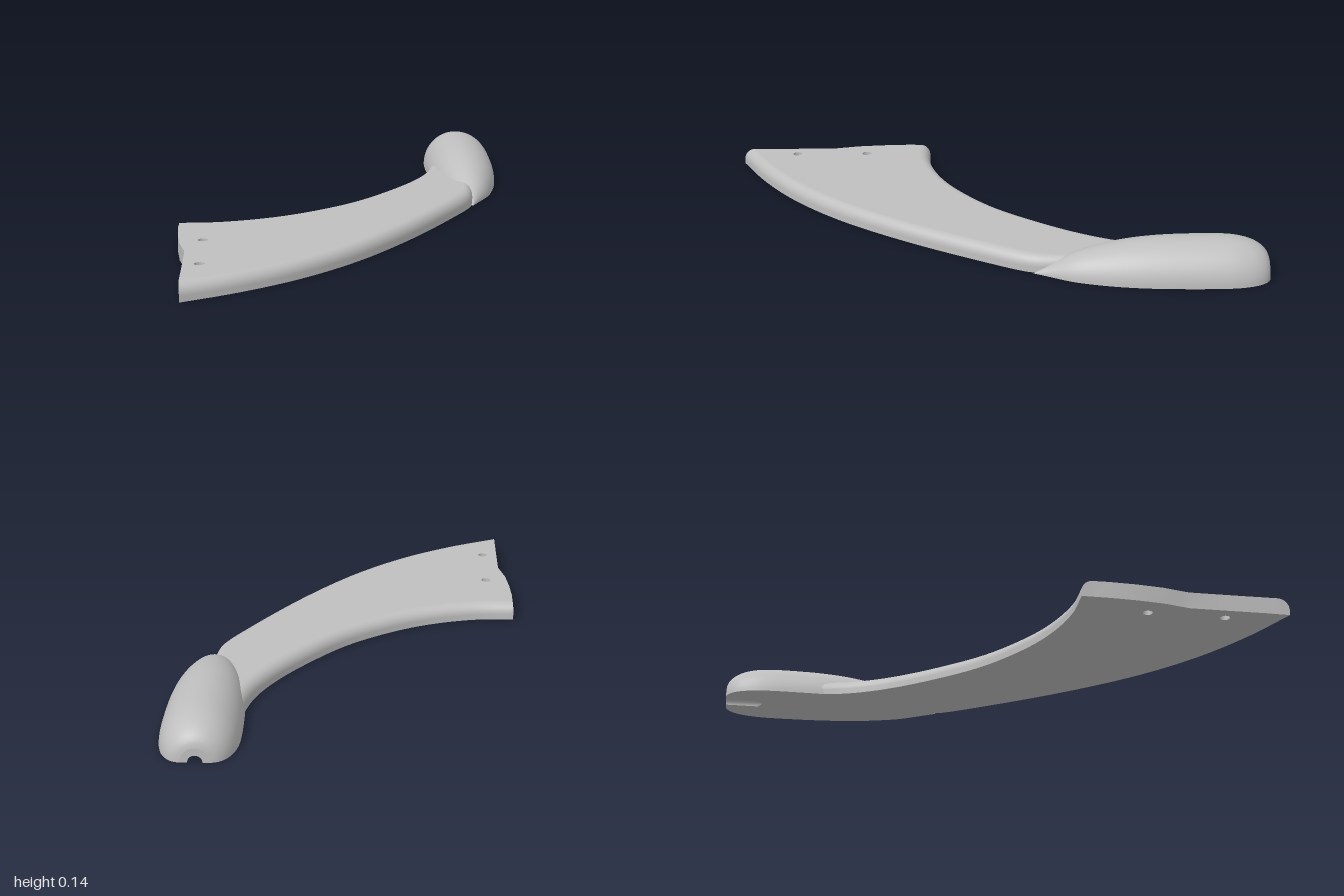
import * as THREE from 'three';
import { toCreasedNormals } from 'three/addons/utils/BufferGeometryUtils.js';

const H = 0.063;      // blade thickness
const R = 0.042;      // rounding of the long edges
const STEPS = 64;

// Smooth plan curve from [x, z] pairs
const planCurve = (pts) =>
  new THREE.CatmullRomCurve3(pts.map(([x, z]) => new THREE.Vector3(x, 0, z)), false, 'centripetal');

// Surface through rows of points
function surface(rows, flip = false) {
  const n = rows[0].length, pos = [], idx = [];
  rows.forEach((row) => row.forEach((p) => pos.push(p.x, p.y, p.z)));
  for (let i = 0; i < rows.length - 1; i++) {
    for (let j = 0; j < n - 1; j++) {
      const a = i * n + j, b = a + 1, c = a + n, d = c + 1;
      if (flip) idx.push(a, c, b, b, c, d);
      else idx.push(a, b, c, b, d, c);
    }
  }
  const g = new THREE.BufferGeometry();
  g.setAttribute('position', new THREE.Float32BufferAttribute(pos, 3));
  g.setIndex(idx);
  g.computeVertexNormals();
  return g;
}

export function createModel() {
  const grey = new THREE.MeshStandardMaterial({ color: 0xbfbfbf, side: THREE.DoubleSide });
  grey.name = 'plain grey';
  const model = new THREE.Group();
  model.name = 'curvedHandle';
  const blade = new THREE.Group();
  blade.name = 'blade';
  model.add(blade);
  const add = (parent, geometry, name) => {
    const mesh = new THREE.Mesh(geometry, grey);
    mesh.name = name;
    parent.add(mesh);
    return mesh;
  };

  // Long edges of the blade, from the wide end to the grip
  const inner = planCurve([[-0.638, 0.23], [-0.5, 0.225], [-0.35, 0.188], [-0.2, 0.12], [0, -0.025],
    [0.15, -0.195], [0.27, -0.37], [0.335, -0.51], [0.365, -0.64], [0.39, -0.8]]);
  const outer = planCurve([[-0.597, 1], [-0.4, 0.9], [-0.2, 0.765], [0, 0.578], [0.2, 0.325],
    [0.4, 0.015], [0.485, -0.14], [0.5, -0.21], [0.505, -0.3], [0.52, -0.5], [0.52, -0.8]]);

  // Rounded profile rising from an edge point towards its mate on the other edge
  function edgeRows(from, to) {
    const rows = [];
    for (let i = 0; i <= STEPS; i++) {
      const p = from.getPointAt(i / STEPS);
      const dir = to.getPointAt(i / STEPS).sub(p).normalize();
      const row = [p.clone()];
      for (let k = 0; k <= 8; k++) {
        const a = (k / 8) * Math.PI / 2;
        const q = p.clone().addScaledVector(dir, R * (1 - Math.cos(a)));
        q.y = H - R + R * Math.sin(a);
        row.push(q);
      }
      rows.push(row);
    }
    return rows;
  }
  const innerRows = edgeRows(inner, outer), outerRows = edgeRows(outer, inner);
  add(blade, surface(innerRows, true), 'innerEdge');
  add(blade, surface(outerRows), 'outerEdge');

  // Flat faces with two screw holes
  const endPath = [[-0.637, 0.33], [-0.632, 0.43], [-0.621, 0.53], [-0.607, 0.59], [-0.598, 0.63], [-0.598, 0.8]];
  const holes = [[-0.54, 0.49], [-0.54, 0.775]];
  function flatFace(column, s) {
    const pts = [
      ...outerRows.map((r) => r[column]),
      ...innerRows.map((r) => r[column]).reverse(),
    ].map((p) => new THREE.Vector2(p.x, p.z * s));
    endPath.forEach(([x, z]) => pts.push(new THREE.Vector2(x, z * s)));
    const shape = new THREE.Shape(pts);
    holes.forEach(([x, z]) => shape.holes.push(new THREE.Path().absarc(x, z * s, 0.018, 0, Math.PI * 2, true)));
    return new THREE.ShapeGeometry(shape, 12).rotateX(s * Math.PI / 2);
  }
  add(blade, flatFace(9, -1).translate(0, H, 0), 'topFace');
  add(blade, flatFace(0, 1), 'bottomFace');
  holes.forEach(([x, z]) => {
    add(blade, new THREE.CylinderGeometry(0.018, 0.018, H, 24, 1, true), 'screwHole').position.set(x, H / 2, z);
  });

  // Wide end wall, and the hidden end inside the grip
  function endWall(i, middle) {
    const top = [...innerRows[i].slice(1), ...middle.map(([x, z]) => new THREE.Vector3(x, H, z)),
      ...outerRows[i].slice(1).reverse()];
    return surface([top, top.map((p) => new THREE.Vector3(p.x, 0, p.z))], i > 0);
  }
  add(blade, toCreasedNormals(endWall(0, endPath), 0.5), 'wideEnd');
  add(blade, endWall(STEPS, []), 'gripEnd');

  // Grip: half of a turned teardrop lying on its flat side
  const CX = 0.497, NOTCH = 0.026, ARC = 32;
  const radius = planCurve([[0, -0.155], [0.024, -0.2], [0.052, -0.25], [0.077, -0.3], [0.107, -0.4],
    [0.126, -0.5], [0.136, -0.6], [0.14, -0.7], [0.14, -0.83], [0.134, -0.89], [0.118, -0.945],
    [0.093, -0.982], [0.07, -0.997], [0.052, -1]]);
  const arc = (r, z) => Array.from({ length: ARC + 1 }, (_, j) => {
    const a = (j / ARC) * Math.PI;
    return new THREE.Vector3(CX + r * Math.cos(a), r * Math.sin(a), z);
  });
  const profile = radius.getSpacedPoints(60);
  const grip = new THREE.Group();
  grip.name = 'grip';
  model.add(grip);
  add(grip, surface(profile.map((p) => arc(Math.max(p.x, 0), p.z))), 'gripDome');

  // Underside, split around the small arched groove at the back
  const START = -0.86;
  const underside = (side) => surface(profile.map((p) => [
    new THREE.Vector3(CX + side * p.x, 0, p.z),
    new THREE.Vector3(CX + side * (p.z < START ? NOTCH : 0), 0, p.z),
  ]), side < 0);
  add(grip, underside(1), 'leftUnderside');
  add(grip, underside(-1), 'rightUnderside');
  add(grip, surface([arc(NOTCH, START), arc(NOTCH, -1)], true), 'grooveWall');
  add(grip, surface([arc(NOTCH, START), arc(0, START)], true), 'grooveEnd');
  add(grip, surface([arc(0.052, -1), arc(NOTCH, -1)]), 'gripBack');

  return model;
}
